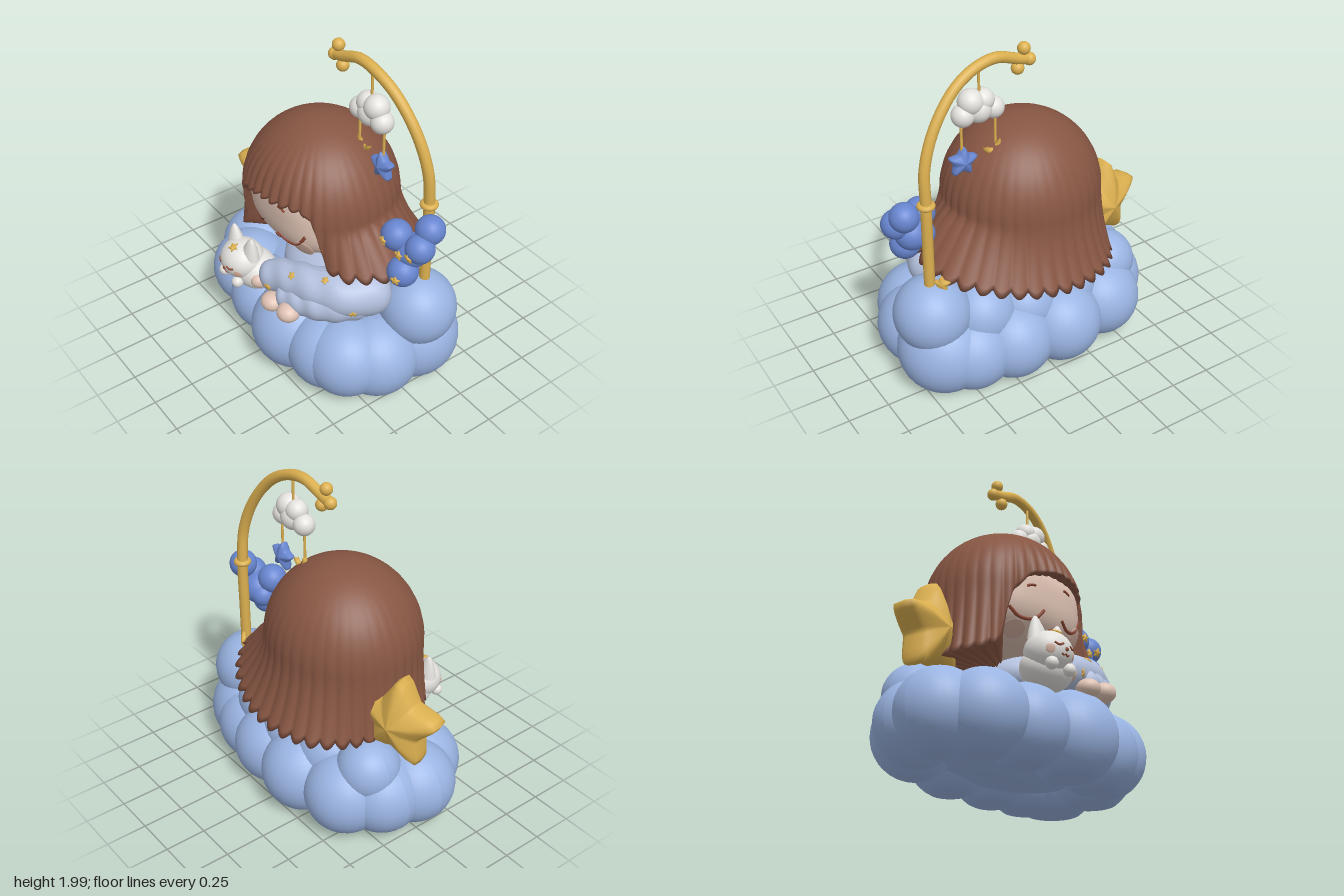
import * as THREE from 'three';

const mat = (name, color, side = THREE.FrontSide) => {
  const m = new THREE.MeshStandardMaterial({ color, side });
  m.name = name;
  return m;
};
const V = (x, y, z) => new THREE.Vector3(x, y, z);

export function createModel() {
  const root = new THREE.Group();
  const cloudBlue = mat('cloudBlue', 0x9ab4e2), hairBrown = mat('hairBrown', 0x875643, THREE.DoubleSide),
    gold = mat('gold', 0xdcb050), skin = mat('skin', 0xdfc3b4), sleeveBlue = mat('sleeveBlue', 0xb4c1de),
    white = mat('white', 0xe4e2de), deepBlue = mat('deepBlue', 0x6886d0),
    lineBrown = mat('lineBrown', 0x8f4936), blush = mat('blush', 0xd8b3a3);

  const add = (name, geo, m, x = 0, y = 0, z = 0) => {
    const mesh = new THREE.Mesh(geo, m);
    mesh.name = name;
    mesh.position.set(x, y, z);
    root.add(mesh);
    return mesh;
  };
  const unitBall = new THREE.SphereGeometry(1, 32, 20);
  const ball = (name, m, x, y, z, rx, ry = rx, rz = rx) => {
    const b = add(name, unitBall, m, x, y, z);
    b.scale.set(rx, ry, rz);
    return b;
  };
  const tube = (name, m, pts, r, seg = 20) =>
    add(name, new THREE.TubeGeometry(new THREE.CatmullRomCurve3(pts), seg, r, 10), m);
  // Puffy five-pointed star: a lathed lens whose radius follows a star outline
  const starGeo = (R, q, h, seg = 60) => {
    const prof = [[0, -1], [0.5, -0.82], [0.85, -0.55], [0.97, -0.38], [1, 0], [0.97, 0.38], [0.85, 0.55], [0.5, 0.82], [0, 1]];
    const g = new THREE.LatheGeometry(prof.map(([s, z]) => new THREE.Vector2(s * R, z * h)), seg).rotateX(Math.PI / 2);
    const p = g.attributes.position, step = Math.PI * 0.4, k = q * Math.sin(step / 2);
    for (let i = 0; i < p.count; i++) {
      const a = Math.atan2(p.getX(i), p.getY(i)), t = Math.abs(a - Math.round(a / step) * step);
      const f = Math.min(0.92, k / (Math.sin(t) * (1 - q * Math.cos(step / 2)) + k * Math.cos(t)));
      p.setXY(i, p.getX(i) * f, p.getY(i) * f);
    }
    g.computeVertexNormals();
    return g;
  };
  // Finds the front surface of a part at (x, y)
  const ray = new THREE.Raycaster();
  const onto = (target, x, y) => {
    target.updateMatrixWorld(true);
    ray.set(V(x, y, 3), V(0, 0, -1));
    const hit = ray.intersectObject(target, false)[0];
    return hit && { p: hit.point, n: hit.face.normal.clone().transformDirection(target.matrixWorld) };
  };
  const stick = (name, geo, m, target, x, y) => {
    const h = onto(target, x, y);
    if (!h) return;
    const d = add(name, geo, m, h.p.x, h.p.y, h.p.z);
    d.lookAt(h.p.clone().add(h.n));
  };
  const drawn = (name, target, pts, r) => {
    const line = new THREE.CatmullRomCurve3(pts.map(([x, y]) => V(x, y, 0))).getPoints(14);
    const on = line.map(v => onto(target, v.x, v.y)).filter(Boolean).map(h => h.p);
    if (on.length > 1) tube(name, lineBrown, on, r, 20);
  };

  // Cloud base: a ring of puffs flattened at the ground, with upper puffs behind
  const puffs = [
    [-0.62, 0.25, 0.08, 0.25], [-0.58, 0.25, -0.13, 0.245], [-0.47, 0.24, 0.25, 0.25], [-0.2, 0.23, 0.3, 0.24],
    [0.13, 0.24, 0.33, 0.27], [0.4, 0.23, 0.28, 0.25], [0.53, 0.25, 0.24, 0.25], [0.6, 0.23, 0.08, 0.26],
    [0.59, 0.24, -0.2, 0.28], [0.45, 0.22, -0.28, 0.25], [0.2, 0.23, -0.33, 0.25], [-0.12, 0.24, -0.35, 0.255],
    [-0.45, 0.25, -0.29, 0.25], [0.65, 0.5, -0.18, 0.23], [-0.54, 0.43, -0.2, 0.19],
    [0.36, 0.42, -0.22, 0.22], [0.08, 0.39, -0.24, 0.22], [-0.22, 0.39, -0.22, 0.22]];
  const puff = (x, y, z, rx, ry, rz) => {
    const g = unitBall.clone().scale(rx, ry, rz), p = g.attributes.position;
    for (let i = 0; i < p.count; i++) p.setY(i, Math.max(p.getY(i), 0.01 - y));
    g.computeVertexNormals();
    add('cloudPuff', g, cloudBlue, x, y, z);
  };
  puffs.forEach(([x, y, z, r]) => puff(x, y, z, r, r, r));
  puff(0, 0.25, 0, 0.62, 0.235, 0.4);

  // Hair: a dome flowing into scalloped strands. Rows: angle from front, hem height, hem radius
  const hem = [[-180, 0.62, 0.62], [-150, 0.61, 0.61], [-120, 0.6, 0.55], [-90, 0.6, 0.515], [-62, 0.6, 0.53],
    [-50, 0.63, 0.515], [-46, 0.68, 0.49], [-42, 0.86, 0.48], [-38, 0.97, 0.48], [-24, 1.09, 0.475], [0, 1.145, 0.475],
    [30, 1.15, 0.48], [42, 1.13, 0.48], [49, 1.03, 0.48], [52, 0.92, 0.49], [56, 0.79, 0.52], [65, 0.77, 0.61],
    [90, 0.77, 0.71], [110, 0.73, 0.73], [130, 0.7, 0.69], [150, 0.66, 0.65], [180, 0.62, 0.62]];
  const hemAt = deg => {
    let i = 0;
    while (i < hem.length - 2 && deg > hem[i + 1][0]) i++;
    const [a, b] = [hem[i], hem[i + 1]], k = (deg - a[0]) / (b[0] - a[0]);
    return [a[1] + (b[1] - a[1]) * k, a[2] + (b[2] - a[2]) * k];
  };
  const COLS = 320, ROWS = 34, D = 0.482, CY = 1.028, pos = [], idx = [];
  for (let j = 0; j <= ROWS + 2; j++) {
    for (let i = 0; i < COLS; i++) {
      const phi = (i / COLS) * 2 * Math.PI - Math.PI;
      const [hy, hr] = hemAt(phi * 180 / Math.PI);
      const ridge = Math.abs(Math.sin(phi * 20));
      const yb = hy + (hy > 0.85 ? 0.01 : 0.03) * (1 - ridge), s = Math.min(j / ROWS, 1);
      const aEnd = Math.acos(Math.min(Math.max((yb - CY) / D, 0), 1));
      const L1 = D * aEnd, L2 = Math.max(0, CY - yb), len = s * (L1 + L2);
      let y, r;
      if (len <= L1) {
        y = CY + D * Math.cos(len / D);
        r = D * Math.sin(len / D);
      } else {
        y = CY - (len - L1);
        r = D + (hr - D) * Math.pow((len - L1) / L2, 1.7 - 0.75 * Math.max(0, Math.sin(phi)) ** 2);
      }
      r *= 1 + 0.05 * (ridge - 1) * s ** 3;
      if (j === ROWS + 1) { r *= 0.85; y += 0.01; }
      if (j === ROWS + 2) { r *= 0.2; y += 0.04; }
      pos.push(-0.06 + r * Math.sin(phi), y, 0.95 * r * Math.cos(phi));
      if (j) {
        const n = (i + 1) % COLS, a = (j - 1) * COLS + i, b = (j - 1) * COLS + n, c = j * COLS + i, d = j * COLS + n;
        idx.push(a, c, b, b, c, d);
      }
    }
  }
  const hairGeo = new THREE.BufferGeometry();
  hairGeo.setAttribute('position', new THREE.Float32BufferAttribute(pos, 3));
  hairGeo.setIndex(idx);
  hairGeo.computeVertexNormals();
  add('hair', hairGeo, hairBrown);

  // Sleeping face: a rounded block with full cheeks
  const faceGeo = new THREE.SphereGeometry(1, 48, 32), fp = faceGeo.attributes.position;
  for (let i = 0; i < fp.count; i++) {
    const v = V(0, 0, 0).fromBufferAttribute(fp, i), e = 2.8;
    v.divideScalar((Math.abs(v.x) ** e + Math.abs(v.y) ** e + Math.abs(v.z) ** e) ** (1 / e));
    fp.setXYZ(i, v.x * 0.4, v.y * 0.285, v.z * 0.38);
  }
  faceGeo.computeVertexNormals();
  const face = add('face', faceGeo, skin, -0.045, 1.02, 0);
  drawn('closedEye', face, [[-0.33, 0.9], [-0.28, 0.86], [-0.22, 0.85], [-0.16, 0.87], [-0.12, 0.92]], 0.01);
  drawn('closedEye', face, [[0.03, 0.91], [0.09, 0.875], [0.15, 0.88], [0.2, 0.92], [0.235, 0.98]], 0.01);
  drawn('brow', face, [[-0.25, 1.03], [-0.22, 1.045], [-0.19, 1.05]], 0.008);
  drawn('brow', face, [[0.04, 1.1], [0.07, 1.1], [0.1, 1.09]], 0.008);
  drawn('mouth', face, [[-0.045, 0.8], [-0.02, 0.787], [0.005, 0.803]], 0.009);
  const dot = (r, flat = 0.3) => unitBall.clone().scale(r, r, r * flat);
  stick('nose', dot(0.022, 0.5), lineBrown, face, -0.025, 0.832);
  stick('cheek', dot(0.065, 0.12), blush, face, -0.25, 0.8);
  stick('cheek', dot(0.065, 0.12), blush, face, 0.2, 0.87);

  // Body, sleeves and hands
  const limb = (name, pts, radii) => {
    const curve = new THREE.CatmullRomCurve3(pts), seg = 40, rad = 24;
    const g = new THREE.TubeGeometry(curve, seg, 1, rad), p = g.attributes.position;
    for (let i = 0; i <= seg; i++) {
      const t = i / seg, c = curve.getPointAt(t), e = Math.min(1, Math.min(t, 1 - t) / 0.13);
      for (let k = 0; k <= rad; k++) {
        const q = i * (rad + 1) + k, v = V(0, 0, 0).fromBufferAttribute(p, q).sub(c);
        const fold = 0.004 * Math.sin(t * 34 + 3 * Math.sin(k / rad * 2 * Math.PI));
        v.multiplyScalar((radii[0] + (radii[1] - radii[0]) * t + fold) * Math.sqrt(e * (2 - e))).add(c);
        p.setXYZ(q, v.x, v.y, v.z);
      }
    }
    g.computeVertexNormals();
    return add(name, g, sleeveBlue);
  };
  ball('body', sleeveBlue, 0.2, 0.6, 0.06, 0.4, 0.18, 0.28);
  const sleeve = limb('sleeve', [V(0.52, 0.64, -0.05), V(0.48, 0.65, 0.17), V(0.3, 0.645, 0.3), V(0.12, 0.61, 0.36), V(-0.08, 0.55, 0.42)], [0.15, 0.095]);
  limb('lowerSleeve', [V(0.52, 0.61, 0.08), V(0.42, 0.585, 0.27), V(0.28, 0.56, 0.36), V(0.1, 0.54, 0.42)], [0.12, 0.09]);
  ball('hand', skin, -0.045, 0.535, 0.465, 0.05, 0.05, 0.055);
  ball('hand', skin, 0.115, 0.49, 0.48, 0.07, 0.055, 0.07);
  ball('hand', skin, 0.265, 0.51, 0.47, 0.07, 0.058, 0.07);
  const tinyStar = starGeo(0.03, 0.5, 0.009, 20);
  [[0.4, 0.765], [0.21, 0.715], [0.58, 0.605], [0.07, 0.57]].forEach(([x, y]) => stick('sleeveStar', tinyStar, gold, sleeve, x, y));

  // Kitten
  ball('kittenBody', white, -0.165, 0.53, 0.42, 0.165, 0.12, 0.13);
  const cat = ball('kittenHead', white, -0.21, 0.6, 0.475, 0.138, 0.12, 0.132);
  for (const s of [-1, 1]) {
    const ear = add('kittenEar', new THREE.LatheGeometry([[0.066, 0], [0.05, 0.06], [0.026, 0.115], [0.011, 0.135], [0, 0.14]]
      .map(([x, y]) => new THREE.Vector2(x, y)), 20), white, -0.21 + s * 0.075, 0.655, 0.465);
    ear.rotation.z = -s * 0.13;
    ear.scale.z = 0.75;
    ball('kittenPaw', white, -0.21 + s * 0.07, 0.5, 0.56, 0.036);
    const ex = -0.21 + s * 0.05;
    drawn('kittenEye', cat, [[ex - 0.025, 0.612], [ex, 0.6], [ex + 0.025, 0.612]], 0.006);
    drawn('kittenMouth', cat, [[-0.21, 0.56], [-0.21 + s * 0.015, 0.552], [-0.21 + s * 0.028, 0.56]], 0.005);
    stick('kittenCheek', dot(0.026, 0.2), blush, cat, -0.21 + s * 0.09, 0.575);
  }
  stick('kittenNose', dot(0.012, 0.6), lineBrown, cat, -0.21, 0.585);
  stick('kittenStar', starGeo(0.036, 0.5, 0.012, 20), gold, cat, -0.21, 0.707);

  // Large star
  const bigStar = add('bigStar', starGeo(0.31, 0.54, 0.14), gold, -0.61, 0.75, -0.035);
  bigStar.rotation.set(0, 0.25, 0.07);

  // Mobile: pole, collar and curved arm with ball finial
  tube('mobileArm', gold, [V(0.67, 0.62, -0.2), V(0.67, 0.95, -0.2), V(0.67, 1.25, -0.2), V(0.66, 1.47, -0.185), V(0.58, 1.68, -0.16), V(0.44, 1.855, -0.13),
    V(0.3, 1.935, -0.11), V(0.16, 1.957, -0.1), V(0.02, 1.91, -0.09), V(-0.06, 1.89, -0.09)], 0.032, 60);
  const collar = add('collar', new THREE.TorusGeometry(0.035, 0.018, 10, 24), gold, 0.67, 1.25, -0.2);
  collar.rotation.x = Math.PI / 2;
  [[-0.02, 1.962], [-0.055, 1.89], [0.02, 1.853]].forEach(([x, y]) => ball('finial', gold, x, y, -0.09, 0.037));
  const baseStar = add('baseStar', starGeo(0.06, 0.5, 0.02, 20), gold, 0.62, 0.735, -0.25);
  baseStar.rotation.y = 2.4;

  // Hanging cloud, star and moon
  const string = (x, y0, y1) => tube('string', gold, [V(x, y0, -0.1), V(x, y1, -0.1)], 0.008, 2);
  string(0.27, 1.94, 1.75);
  string(0.385, 1.65, 1.44);
  string(0.17, 1.65, 1.44);
  [[0.18, 1.665, 0.064], [0.245, 1.73, 0.066], [0.32, 1.735, 0.074], [0.37, 1.665, 0.066], [0.275, 1.68, 0.078]]
    .forEach(([x, y, r]) => ball('hangingCloud', white, x, y, -0.095, r));
  add('hangingStar', starGeo(0.1, 0.54, 0.045), deepBlue, 0.382, 1.385, -0.1).rotation.z = 0.1;
  add('hangingMoon', new THREE.TorusGeometry(0.042, 0.016, 10, 18, 3.6), gold, 0.2, 1.445, -0.11).rotation.z = 2.6;

  // Blue balloon cluster with gold stars
  const cluster = [[0.77, 1.17, -0.13, 0.085], [0.62, 1.09, -0.02, 0.09], [0.785, 1.085, -0.05, 0.085],
    [0.71, 0.9, 0.0, 0.09], [0.7, 1.01, -0.07, 0.1], [0.64, 0.99, -0.08, 0.075]]
    .map(([x, y, z, r]) => ball('blueBall', deepBlue, x, y, z, r));
  const ballStar = starGeo(0.034, 0.5, 0.013, 20);
  [[1, 0.61, 1.085], [2, 0.78, 1.05], [3, 0.745, 0.895], [4, 0.7, 1.02]]
    .forEach(([i, x, y]) => stick('ballStar', ballStar, gold, cluster[i], x, y));

  return root;
}
